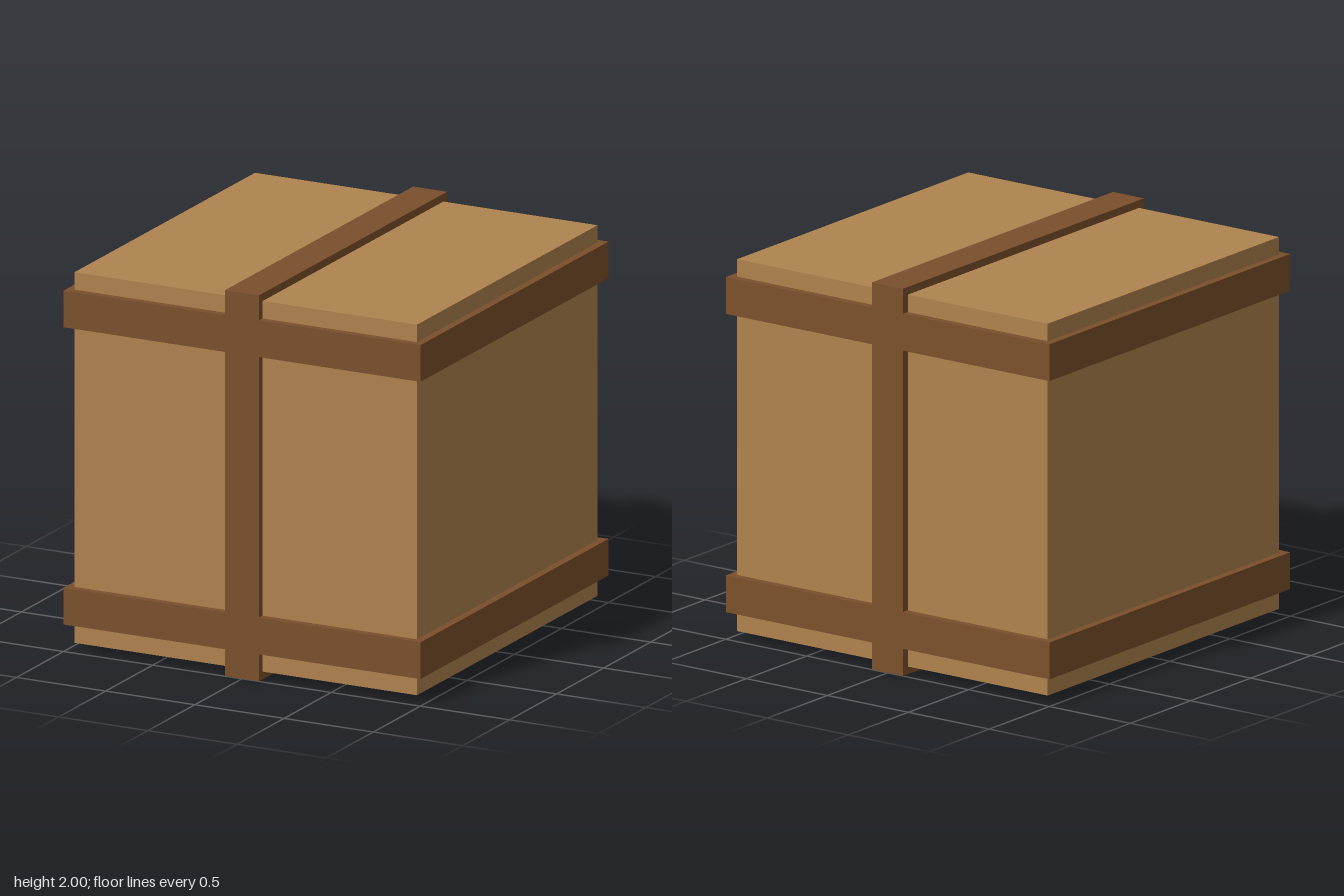
import * as THREE from 'three';

export function createModel() {
  const group = new THREE.Group();
  const wood = new THREE.MeshStandardMaterial({ color: 0xb0834e });
  wood.name = 'light wood';
  const strapping = new THREE.MeshStandardMaterial({ color: 0x7c502c });
  strapping.name = 'dark strap';

  const addBox = (name, material, size, y) => {
    const mesh = new THREE.Mesh(new THREE.BoxGeometry(...size), material);
    mesh.name = name;
    mesh.position.y = y;
    group.add(mesh);
  };

  const body = 1.92, outer = 2, width = 0.19;

  // Crate body, inset from the straps on every side
  addBox('crateBody', wood, [body, body, body], 1);

  // Horizontal bands around the four walls
  addBox('lowerBand', strapping, [outer, width, outer], 0.235);
  addBox('upperBand', strapping, [outer, width, outer], 1.775);

  // Vertical strap over the front, top, back and underside
  addBox('verticalStrap', strapping, [width, outer, outer], 1);

  return group;
}
